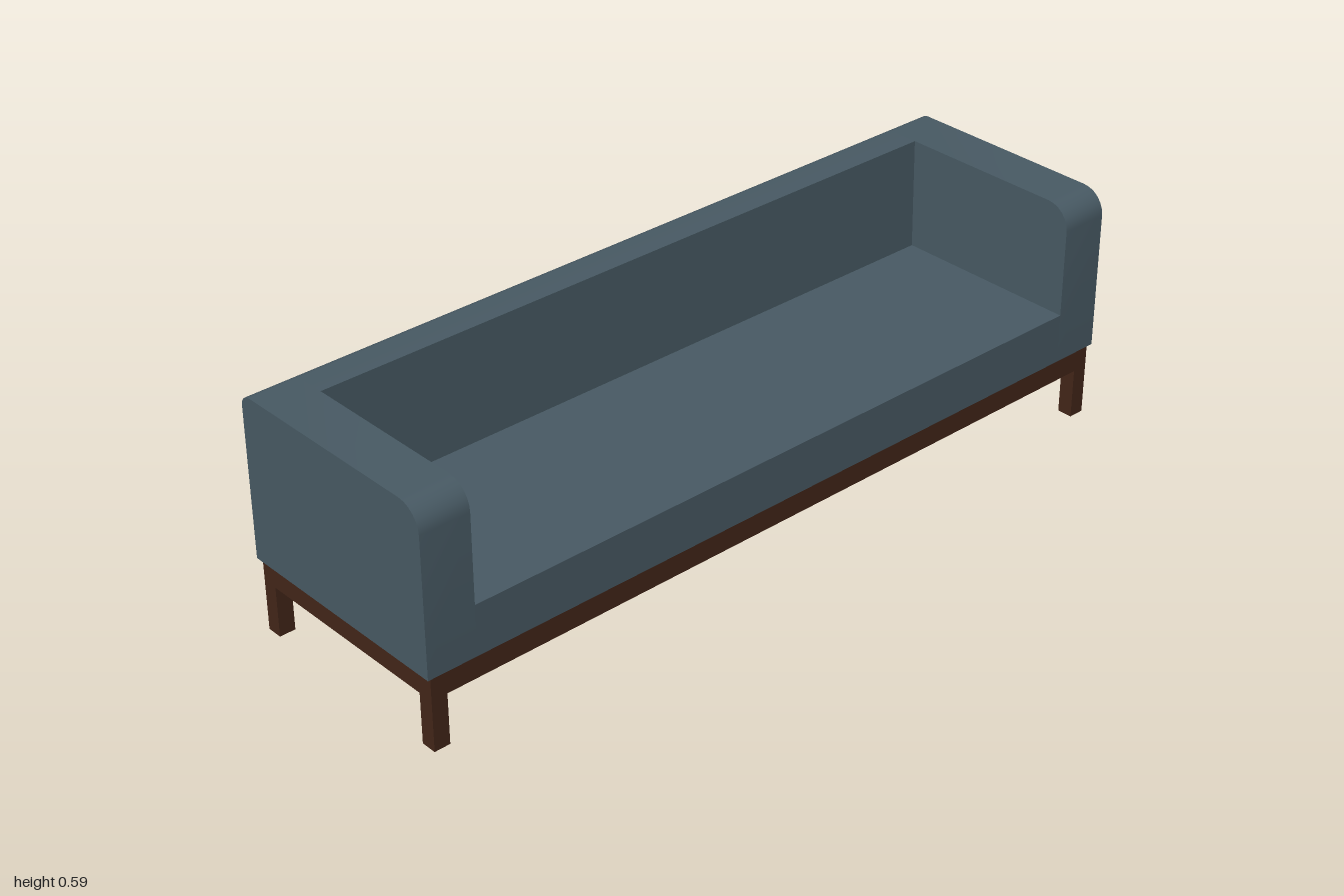
import * as THREE from 'three';
import { toCreasedNormals } from 'three/addons/utils/BufferGeometryUtils.js';

const fabric = new THREE.MeshStandardMaterial({ color: 0x485a64 });
const wood = new THREE.MeshStandardMaterial({ color: 0x432619 });

const BOTTOM = 0.185, TOP = 0.59, SEAT = 0.31;
const FRONT = 0.295, BACK = -0.295, ARM_INNER = 0.875;
const FRONT_R = 0.06, BACK_R = 0.028;

// Extrudes a side profile, drawn as (z, y), along x from x0 to x1
function extrudeAcross(shape, x0, x1) {
  const geo = new THREE.ExtrudeGeometry(shape, { depth: x1 - x0, bevelEnabled: false, curveSegments: 3 });
  geo.rotateY(-Math.PI / 2);
  geo.translate(x1, 0, 0);
  return toCreasedNormals(geo, 0.6);
}

// Rounded top edge at the rear, shared by arms and backrest
function closeRear(shape) {
  shape.lineTo(BACK + BACK_R, TOP);
  shape.absarc(BACK + BACK_R, TOP - BACK_R, BACK_R, Math.PI / 2, Math.PI, false);
  shape.lineTo(BACK, BOTTOM);
  return shape;
}

function armProfile() {
  const s = new THREE.Shape();
  s.moveTo(BACK, BOTTOM);
  s.lineTo(FRONT, BOTTOM);
  s.lineTo(FRONT, TOP - FRONT_R);
  s.absarc(FRONT - FRONT_R, TOP - FRONT_R, FRONT_R, 0, Math.PI / 2, false);
  return closeRear(s);
}

// Seat and backrest form one L-shaped profile
function seatProfile() {
  const s = new THREE.Shape();
  s.moveTo(BACK, BOTTOM);
  s.lineTo(FRONT, BOTTOM);
  s.lineTo(FRONT, SEAT);
  s.lineTo(-0.187, SEAT);
  s.lineTo(-0.192, TOP);
  return closeRear(s);
}

export function createModel() {
  const model = new THREE.Group();
  model.name = 'sofa';

  const add = (name, geometry, material, x = 0, y = 0, z = 0) => {
    const mesh = new THREE.Mesh(geometry, material);
    mesh.name = name;
    mesh.position.set(x, y, z);
    model.add(mesh);
  };

  // Upholstery
  add('seatAndBackrest', extrudeAcross(seatProfile(), -ARM_INNER, ARM_INNER), fabric);
  add('leftArm', extrudeAcross(armProfile(), ARM_INNER, 1), fabric);
  add('rightArm', extrudeAcross(armProfile(), -1, -ARM_INNER), fabric);

  // Wooden base and legs
  add('baseFrame', new THREE.BoxGeometry(1.98, 0.058, 0.578), wood, 0, 0.156, 0);
  const leg = new THREE.BoxGeometry(0.04, 0.127, 0.039);
  for (const [side, sx] of [['Left', 1], ['Right', -1]]) {
    for (const [end, sz] of [['front', 1], ['back', -1]]) {
      add(`${end}${side}Leg`, leg, wood, sx * 0.97, 0.0635, sz * 0.2695);
    }
  }
  return model;
}
